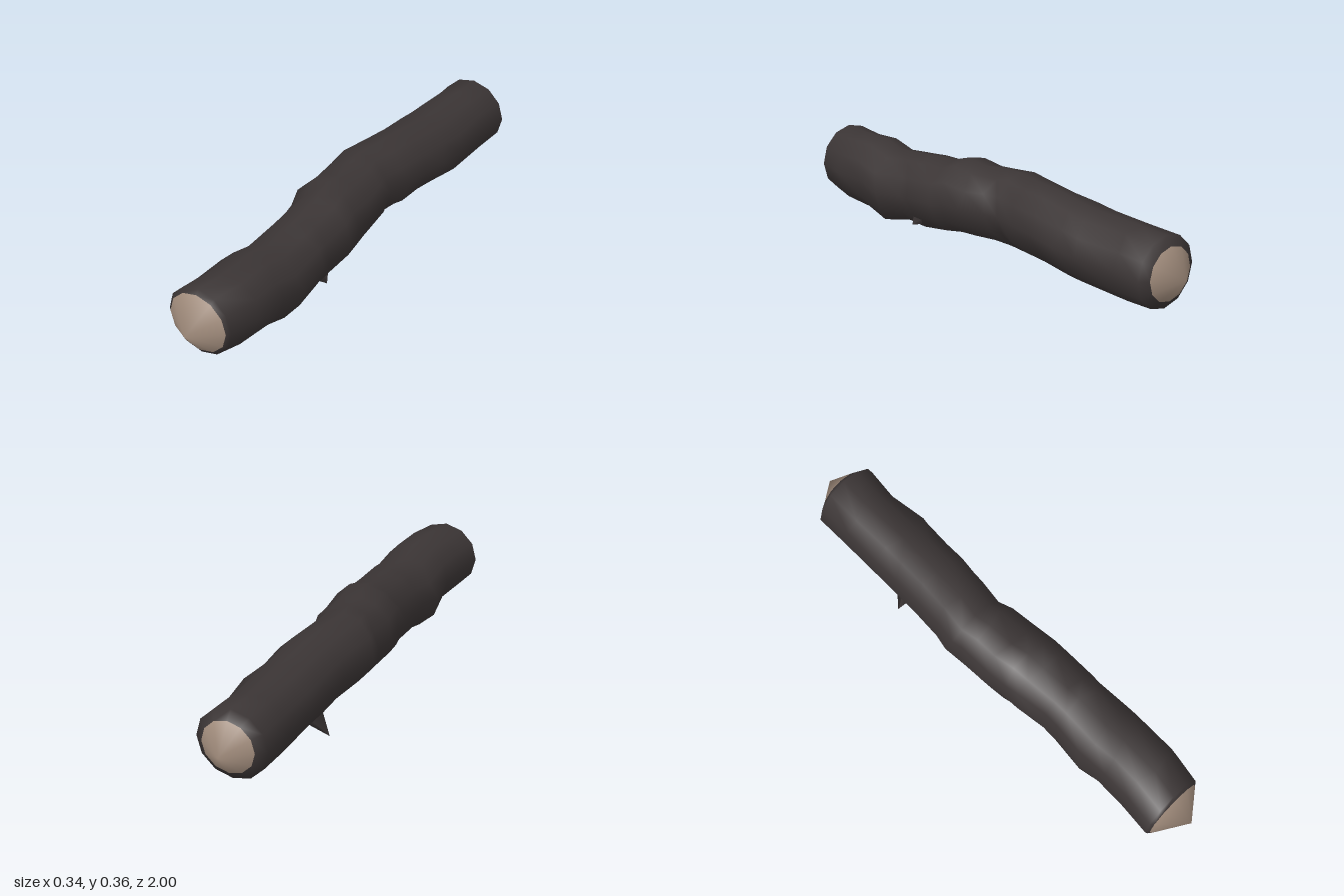
import * as THREE from 'three';

const SIDES = 12;

// Stations along the log: [z, xMin, xMax, yMin, yMax]
const STATIONS = [
  [0.912, -0.137, 0.115, 0.057, 0.3],
  [0.9, -0.15, 0.13, 0.04, 0.32],
  [0.78, -0.135, 0.155, 0.03, 0.325],
  [0.64, -0.13, 0.16, 0.03, 0.33],
  [0.53, -0.135, 0.168, 0.0, 0.305],
  [0.4, -0.122, 0.158, 0.03, 0.32],
  [0.33, -0.12, 0.155, 0.018, 0.325],
  [0.2, -0.14, 0.155, 0.035, 0.335],
  [0.13, -0.148, 0.15, 0.045, 0.36],
  [0.05, -0.158, 0.14, 0.05, 0.342],
  [-0.07, -0.163, 0.13, 0.065, 0.355],
  [-0.13, -0.17, 0.112, 0.063, 0.352],
  [-0.22, -0.155, 0.13, 0.06, 0.35],
  [-0.35, -0.145, 0.14, 0.055, 0.345],
  [-0.48, -0.138, 0.15, 0.045, 0.332],
  [-0.57, -0.135, 0.16, 0.04, 0.325],
  [-0.76, -0.13, 0.145, 0.03, 0.32],
  [-0.9, -0.13, 0.16, 0.04, 0.32],
  [-0.925, -0.09, 0.125, 0.075, 0.285],
];

// Repeatable noise in 0..1
function noise(i, j) {
  const s = Math.sin(i * 127.1 + j * 311.7) * 43758.5453;
  return s - Math.floor(s);
}

// Closed log from noisy rings, with a pointed cut at each end
function logGeometry() {
  const pos = [];
  const last = STATIONS.length - 1;
  STATIONS.forEach(([z, x0, x1, y0, y1], i) => {
    const nearEnd = i < 2 || i > last - 2;
    for (let j = 0; j < SIDES; j++) {
      const a = (j / SIDES) * Math.PI * 2;
      const rough = nearEnd || j % 3 === 0 ? 1 : 0.95 + 0.09 * noise(i, j);
      const dz = nearEnd ? 0 : (noise(j, i + 40) - 0.5) * 0.04;
      pos.push(
        (x0 + x1) / 2 + Math.cos(a) * rough * (x1 - x0) / 2,
        (y0 + y1) / 2 + Math.sin(a) * rough * (y1 - y0) / 2,
        z + dz,
      );
    }
  });
  const frontTip = pos.length / 3;
  const backTip = frontTip + 1;
  pos.push(0, 0.175, 1, 0.015, 0.175, -1);

  const bark = [];
  const wood = [];
  for (let j = 0; j < SIDES; j++) {
    const k = (j + 1) % SIDES;
    for (let i = 0; i < last; i++) {
      const a = i * SIDES + j, b = i * SIDES + k;
      const c = a + SIDES, d = b + SIDES;
      bark.push(a, c, b, b, c, d);
    }
    wood.push(frontTip, j, k);
    wood.push(backTip, last * SIDES + k, last * SIDES + j);
  }
  const geo = new THREE.BufferGeometry();
  geo.setAttribute('position', new THREE.Float32BufferAttribute(pos, 3));
  geo.setIndex([...bark, ...wood]);
  geo.addGroup(0, bark.length, 0);
  geo.addGroup(bark.length, wood.length, 1);
  geo.computeVertexNormals();
  return geo;
}

// Small four-sided spike of bark running from base to tip
function spike(name, base, tip, radius, material) {
  const from = new THREE.Vector3(...base);
  const dir = new THREE.Vector3(...tip).sub(from);
  const geo = new THREE.ConeGeometry(radius, dir.length(), 4);
  const mesh = new THREE.Mesh(geo, material);
  mesh.name = name;
  mesh.position.copy(from).addScaledVector(dir, 0.5);
  mesh.quaternion.setFromUnitVectors(new THREE.Vector3(0, 1, 0), dir.normalize());
  return mesh;
}

export function createModel() {
  const bark = new THREE.MeshStandardMaterial({ color: 0x3b3535 });
  bark.name = 'dark bark';
  const wood = new THREE.MeshStandardMaterial({ color: 0xa18c7c });
  wood.name = 'cut wood';

  const group = new THREE.Group();
  group.name = 'log';

  const trunk = new THREE.Mesh(logGeometry(), [bark, wood]);
  trunk.name = 'trunk';
  group.add(trunk);

  // Broken twig underneath and a low knot on the other side
  group.add(spike('brokenTwig', [-0.08, 0.09, -0.465], [-0.14, 0.018, -0.455], 0.042, bark));
  group.add(spike('knot', [0.08, 0.1, 0.32], [0.135, 0.06, 0.33], 0.06, bark));
  return group;
}
